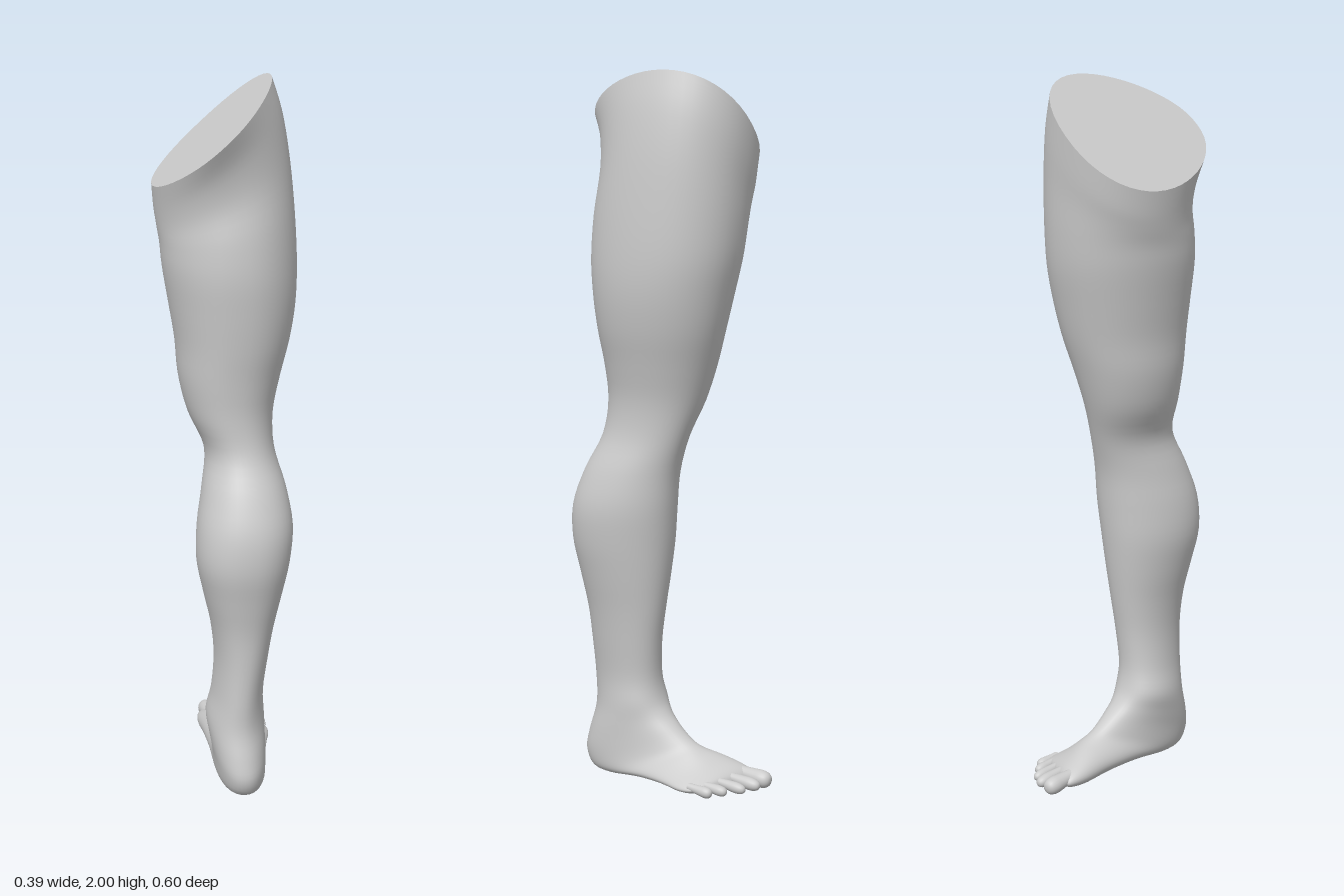
import * as THREE from 'three';

const SEG = 48;

// Cross-sections from thigh to ball of foot:
// [shin-side z, y,  calf-side z, y,  min x, max x,  egg, tilt, skew]
const thigh = [
  [-0.222, 1.86, 0.270, 1.86, -0.195, 0.120, 0.22, 0.90, 0],
  [-0.217, 1.78, 0.236, 1.79, -0.192, 0.150, 0.16, 0.75, 0],
  [-0.210, 1.70, 0.222, 1.70, -0.188, 0.172, 0.10, 0.50, 0],
  [-0.204, 1.60, 0.235, 1.60, -0.182, 0.185, 0.06, 0.20, 0],
  [-0.193, 1.50, 0.240, 1.50, -0.177, 0.190, 0.04, 0, 0],
  [-0.172, 1.40, 0.232, 1.40, -0.162, 0.185, 0.02, 0, 0],
  [-0.148, 1.30, 0.220, 1.30, -0.147, 0.168, 0.00, 0, 0],
  [-0.118, 1.20, 0.206, 1.20, -0.139, 0.142, 0.00, 0, 0],
  [-0.086, 1.10, 0.198, 1.10, -0.115, 0.121, 0.00, 0, 0],
];
const shin = [
  [-0.050, 1.00, 0.208, 1.00, -0.072, 0.122, 0.00, 0, 0],
  [-0.022, 0.90, 0.258, 0.90, -0.084, 0.148, -0.05, 0, 0],
  [-0.010, 0.80, 0.294, 0.80, -0.101, 0.163, -0.08, 0, 0],
  [0.000, 0.70, 0.300, 0.70, -0.104, 0.155, -0.08, 0, 0],
  [0.012, 0.60, 0.281, 0.60, -0.085, 0.136, -0.05, 0, 0],
  [0.026, 0.50, 0.262, 0.50, -0.063, 0.115, 0.00, 0, 0],
  [0.040, 0.40, 0.254, 0.40, -0.053, 0.099, 0.08, 0, 0],
  [0.046, 0.30, 0.250, 0.29, -0.059, 0.086, 0.15, 0, 0],
];
const foot = [
  [0.034, 0.235, 0.251, 0.20, -0.074, 0.090, 0.15, 0, 0],
  [0.012, 0.196, 0.272, 0.12, -0.067, 0.092, 0.05, 0, 0],
  [-0.020, 0.165, 0.281, 0.06, -0.058, 0.093, -0.02, 0, 0],
  [-0.050, 0.140, 0.255, 0.012, -0.053, 0.095, -0.10, -0.05, 0],
  [-0.076, 0.122, 0.190, 0.001, -0.050, 0.100, -0.20, -0.12, 0.05],
  [-0.102, 0.107, 0.080, 0.010, -0.050, 0.112, -0.22, -0.20, 0.15],
  [-0.130, 0.092, -0.030, 0.011, -0.055, 0.127, -0.20, -0.25, 0.30],
  [-0.158, 0.076, -0.120, 0.004, -0.061, 0.141, -0.15, -0.20, 0.42],
  [-0.184, 0.062, -0.172, 0.006, -0.055, 0.143, -0.08, -0.14, 0.48],
  [-0.198, 0.050, -0.192, 0.014, -0.040, 0.132, 0, -0.06, 0.50],
  [-0.203, 0.038, -0.201, 0.026, 0.000, 0.095, 0, 0, 0.50],
  [-0.204, 0.032, -0.204, 0.031, 0.047, 0.049, 0, 0, 0.50],
];
const sections = [...thigh, ...shin, ...foot];

function ringPoints([fz, fy, bz, by, x0, x1, egg, tilt, skew]) {
  const cx = (x0 + x1) / 2;
  return Array.from({ length: SEG }, (_, j) => {
    const a = (j / SEG) * Math.PI * 2;
    const c = Math.cos(a), s = Math.sin(a);
    const x = ((x1 - x0) / 2) * Math.sign(s) * Math.abs(s) ** 0.92 * (1 + egg * c);
    // on the foot only the instep slopes, the sole stays level
    const slope = tilt < 0 ? tilt * (1 + c) / 2 : tilt;
    return [
      cx + x,
      (fy + by) / 2 + c * (fy - by) / 2 + slope * x,
      (fz + bz) / 2 + c * (fz - bz) / 2 + skew * x,
    ];
  });
}

// Smooth interpolation between neighbouring cross-sections
function sectionAt(t) {
  const last = sections.length - 1;
  const i = Math.min(Math.floor(t), last - 1), f = t - i;
  const [p, q, r, s] = [i - 1, i, i + 1, i + 2].map(k => sections[THREE.MathUtils.clamp(k, 0, last)]);
  return q.map((v, k) => v + 0.5 * f * (r[k] - p[k] + f * (2 * p[k] - 5 * v + 4 * r[k] - s[k]
    + f * (3 * (v - r[k]) + s[k] - p[k]))));
}

function geometryFrom(points, index) {
  const g = new THREE.BufferGeometry();
  g.setAttribute('position', new THREE.Float32BufferAttribute(points.flat(), 3));
  g.setIndex(index);
  g.computeVertexNormals();
  return g;
}

function legGeometry() {
  const steps = (sections.length - 1) * 4;
  const points = [], index = [];
  for (let i = 0; i <= steps; i++) points.push(...ringPoints(sectionAt(i / 4)));
  for (let i = 0; i < steps; i++) {
    for (let j = 0; j < SEG; j++) {
      const a = i * SEG + j, b = i * SEG + (j + 1) % SEG;
      index.push(a, b, a + SEG, b, b + SEG, a + SEG);
    }
  }
  return geometryFrom(points, index);
}

// Flat slanted cap closing the thigh
function capGeometry() {
  const [fz, fy, bz, , x0, x1] = sections[0];
  const points = [...ringPoints(sections[0]), [(x0 + x1) / 2, fy, (fz + bz) / 2]];
  const index = [];
  for (let j = 0; j < SEG; j++) index.push(SEG, (j + 1) % SEG, j);
  return geometryFrom(points, index);
}

// Toe: narrow neck swelling to a rounded pad, unit length along +y
function toeGeometry(radius, length) {
  const profile = new THREE.SplineCurve([
    [0.72, 0], [0.8, 0.3], [0.92, 0.55], [1, 0.74], [0.86, 0.89], [0.5, 0.975], [0, 1],
  ].map(([r, y]) => new THREE.Vector2(r * radius, y * length))).getPoints(24);
  profile.forEach(p => { p.x = Math.max(p.x, 0); });
  return new THREE.LatheGeometry(profile, 20);
}

export function createModel() {
  const group = new THREE.Group();
  const material = new THREE.MeshStandardMaterial({ color: 0xcccccc });
  const add = (name, geometry) => {
    const mesh = new THREE.Mesh(geometry, material);
    mesh.name = name;
    group.add(mesh);
    return mesh;
  };

  add('leg', legGeometry());
  add('thighCap', capGeometry());

  // [name, x, tip z, radius, length, height]
  const toes = [
    ['bigToe', -0.024, -0.300, 0.025, 0.115, 0.033],
    ['secondToe', 0.023, -0.290, 0.018, 0.125, 0.030],
    ['thirdToe', 0.064, -0.266, 0.0155, 0.110, 0.027],
    ['fourthToe', 0.102, -0.228, 0.0150, 0.090, 0.025],
    ['littleToe', 0.130, -0.196, 0.0155, 0.075, 0.023],
  ];
  for (const [name, x, tip, radius, length, y] of toes) {
    const toe = add(name, toeGeometry(radius, length));
    toe.rotation.x = -Math.PI / 2 - 0.14;
    toe.position.set(x, y + length * 0.14, tip + length * 0.99);
  }
  return group;
}
